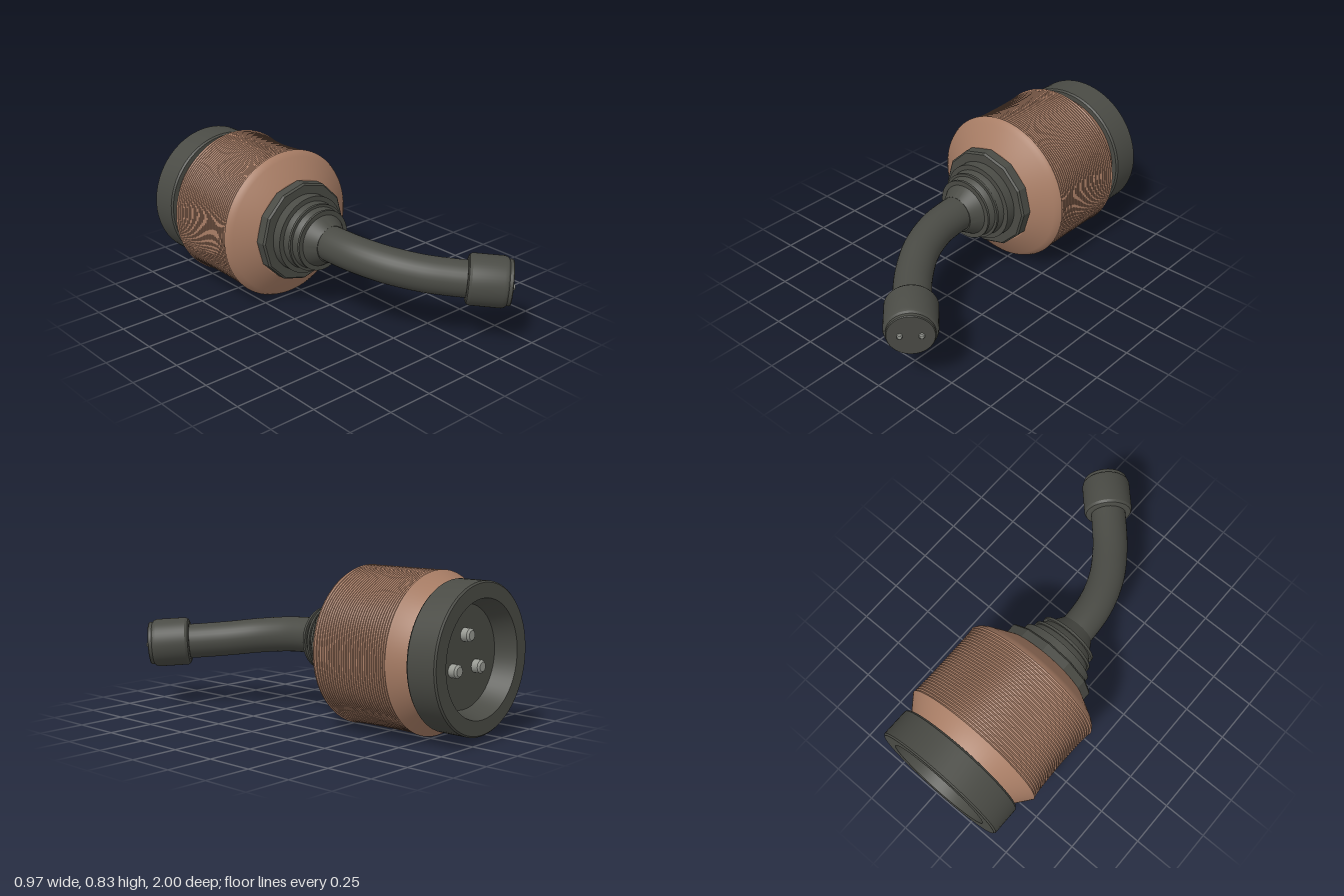
import * as THREE from 'three';
import { toCreasedNormals } from 'three/addons/utils/BufferGeometryUtils.js';

const mat = (name, color) => {
  const m = new THREE.MeshStandardMaterial({ color });
  m.name = name;
  return m;
};

// Turned solid along +z from [radius, z] pairs listed back to front
function turned(pairs, sides = 64, crease = 0.5) {
  const geo = new THREE.LatheGeometry(pairs.map(([r, z]) => new THREE.Vector2(r, z)), sides);
  geo.rotateX(Math.PI / 2);
  return toCreasedNormals(geo, crease);
}

export function createModel() {
  const dark = mat('dark rubber', 0x4a4b45);
  const copper = mat('copper', 0xa87d65);
  const steel = mat('pin steel', 0x989a93);

  const root = new THREE.Group();
  root.name = 'connector';
  const add = (parent, name, geo, material) => {
    const mesh = new THREE.Mesh(geo, material);
    mesh.name = name;
    parent.add(mesh);
    return mesh;
  };

  const barrel = new THREE.Group();
  barrel.name = 'barrel';
  barrel.position.set(-0.07, 0.415, 0);
  root.add(barrel);

  // Ribbed grip: fine rings between two sloped shoulders
  const z0 = -0.735, z1 = -0.285, R = 0.414, ribs = 30;
  const profile = [[0.2, -0.84], [0.34, -0.84], [0.345, -0.825], [0.405, z0 - 0.012]];
  for (let i = 0; i <= ribs * 2; i++) {
    profile.push([R - (i % 2 ? 0.003 : 0), z0 + (z1 - z0) * i / (ribs * 2)]);
  }
  profile.push([0.405, -0.268], [0.385, -0.25], [0.275, -0.185], [0.1, -0.185]);
  let grip = new THREE.LatheGeometry(profile.map(([r, z]) => new THREE.Vector2(r, z)), 96);
  grip.rotateX(Math.PI / 2);
  // Six shallow finger hollows around the grip
  const p = grip.attributes.position;
  for (let i = 0; i < p.count; i++) {
    const x = p.getX(i), y = p.getY(i), t = (p.getZ(i) - z0) / (z1 - z0);
    if (t <= 0 || t >= 1) continue;
    const hollow = 0.02 * (0.5 + 0.5 * Math.cos(6 * Math.atan2(y, x))) * Math.pow(Math.sin(Math.PI * t), 0.6);
    const k = 1 - hollow / Math.hypot(x, y);
    p.setXY(i, x * k, y * k);
  }
  add(barrel, 'ribbed grip', toCreasedNormals(grip, 0.45), copper);

  // Rear socket with a recessed floor
  add(barrel, 'rear socket', turned([
    [0, -0.89], [0.26, -0.89], [0.295, -1], [0.37, -1], [0.378, -0.992],
    [0.378, -0.84], [0.37, -0.83], [0.2, -0.83],
  ]), dark);
  for (let i = 0; i < 3; i++) {
    const a = Math.PI / 2 + i * Math.PI * 2 / 3;
    const pin = add(barrel, 'socket pin', turned([
      [0, -0.935], [0.024, -0.935], [0.034, -0.925], [0.034, -0.885],
    ], 16), steel);
    pin.position.set(0.11 * Math.cos(a), 0.11 * Math.sin(a), 0);
  }

  // Twelve-sided collar
  add(barrel, 'collar', turned([
    [0, -0.2], [0.276, -0.2], [0.276, -0.135], [0.267, -0.125], [0, -0.125],
  ], 12, 0.3), dark);

  // Stepped strain relief with two thin fins
  add(barrel, 'step ring', turned([[0.1, -0.13], [0.215, -0.13], [0.215, -0.072], [0.1, -0.072]]), dark);
  add(barrel, 'relief cone', turned([
    [0.19, -0.08], [0.183, -0.05], [0.162, 0], [0.14, 0.03], [0.1, 0.095], [0.05, 0.095],
  ]), dark);
  for (const [r, z] of [[0.185, -0.028], [0.166, 0.022]]) {
    add(barrel, 'relief fin', turned([[0.1, z - 0.007], [r, z - 0.007], [r, z + 0.007], [0.1, z + 0.007]]), dark);
  }

  // Bent cable
  const path = new THREE.CatmullRomCurve3([
    [-0.07, 0.418, 0.02], [-0.07, 0.418, 0.14], [-0.052, 0.411, 0.28],
    [0.005, 0.394, 0.44], [0.105, 0.372, 0.595], [0.2, 0.36, 0.705], [0.29, 0.352, 0.8],
  ].map((v) => new THREE.Vector3(...v)));
  add(root, 'cable', new THREE.TubeGeometry(path, 40, 0.096, 32), dark);

  // Plug head, turned along the end of the cable
  const head = new THREE.Group();
  head.name = 'plug head';
  head.position.set(0.248, 0.357, 0.757);
  head.lookAt(new THREE.Vector3(0.248 + 0.69, 0.357 - 0.06, 0.757 + 0.72));
  root.add(head);
  add(head, 'plug shell', turned([
    [0.05, 0], [0.112, 0], [0.125, 0.006], [0.133, 0.02], [0.133, 0.18],
    [0.128, 0.197], [0.119, 0.205], [0.119, 0.222], [0.115, 0.226], [0, 0.226],
  ], 48), dark);
  for (const s of [-1, 1]) {
    const pin = add(head, 'plug pin', turned([
      [0.014, 0.22], [0.014, 0.236], [0.01, 0.24], [0, 0.24],
    ], 16), steel);
    pin.position.x = s * 0.052;
  }
  return root;
}
